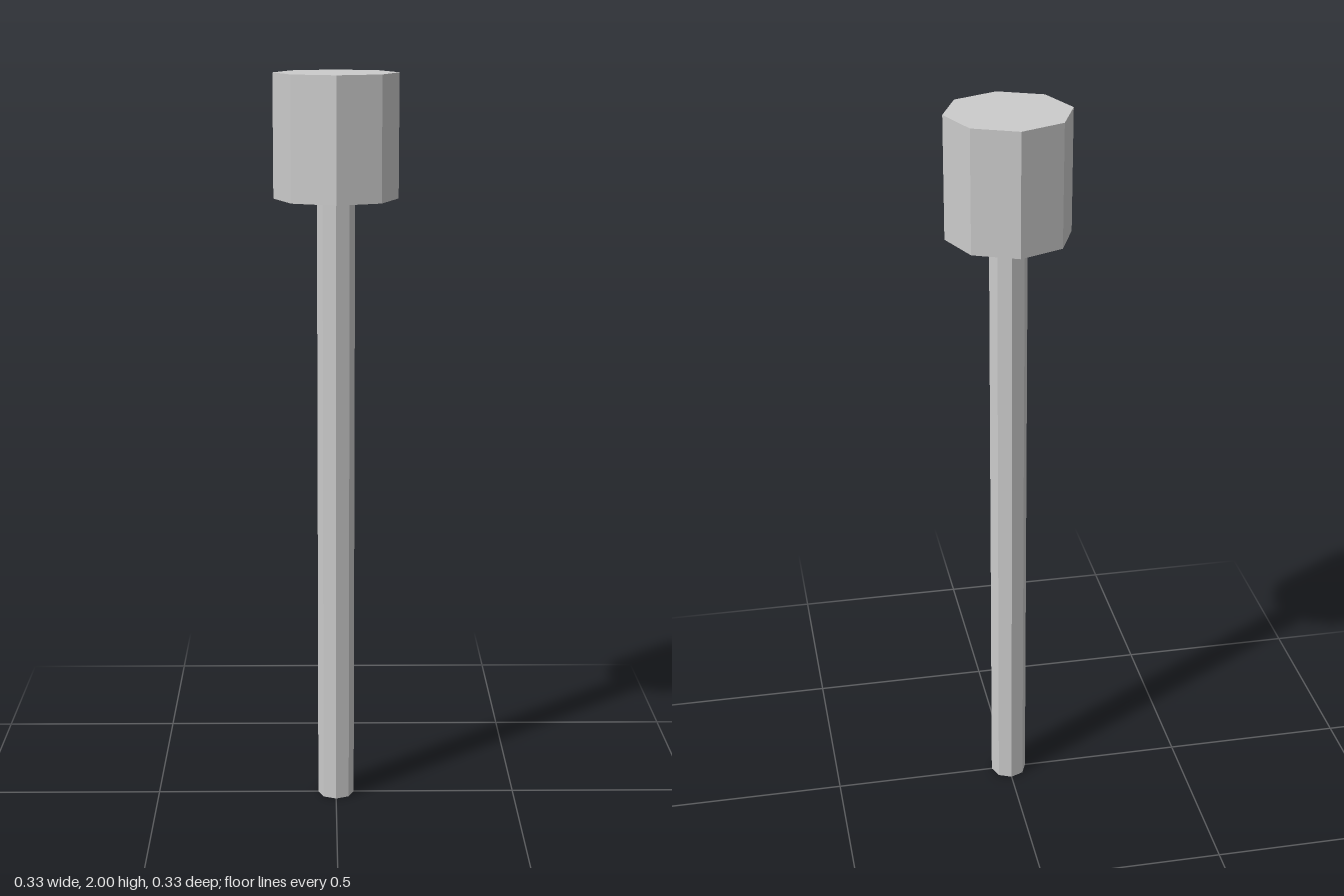
import * as THREE from 'three';

const SIDES = 8;
const HEAD_BOTTOM = 1.676;
const TOP = 2;

export function createModel() {
  const model = new THREE.Group();
  model.name = 'mallet';
  const material = new THREE.MeshStandardMaterial({ color: 0xcccccc, flatShading: true });

  // Upright octagonal prism between two heights
  const addPrism = (name, radius, bottom, top) => {
    const geometry = new THREE.CylinderGeometry(radius, radius, top - bottom, SIDES);
    const mesh = new THREE.Mesh(geometry, material);
    mesh.name = name;
    mesh.position.y = (bottom + top) / 2;
    model.add(mesh);
  };

  // Slim shaft, meeting the underside of the head
  addPrism('shaft', 0.05, 0, HEAD_BOTTOM);
  // Wide head on top
  addPrism('head', 0.164, HEAD_BOTTOM, TOP);

  return model;
}
